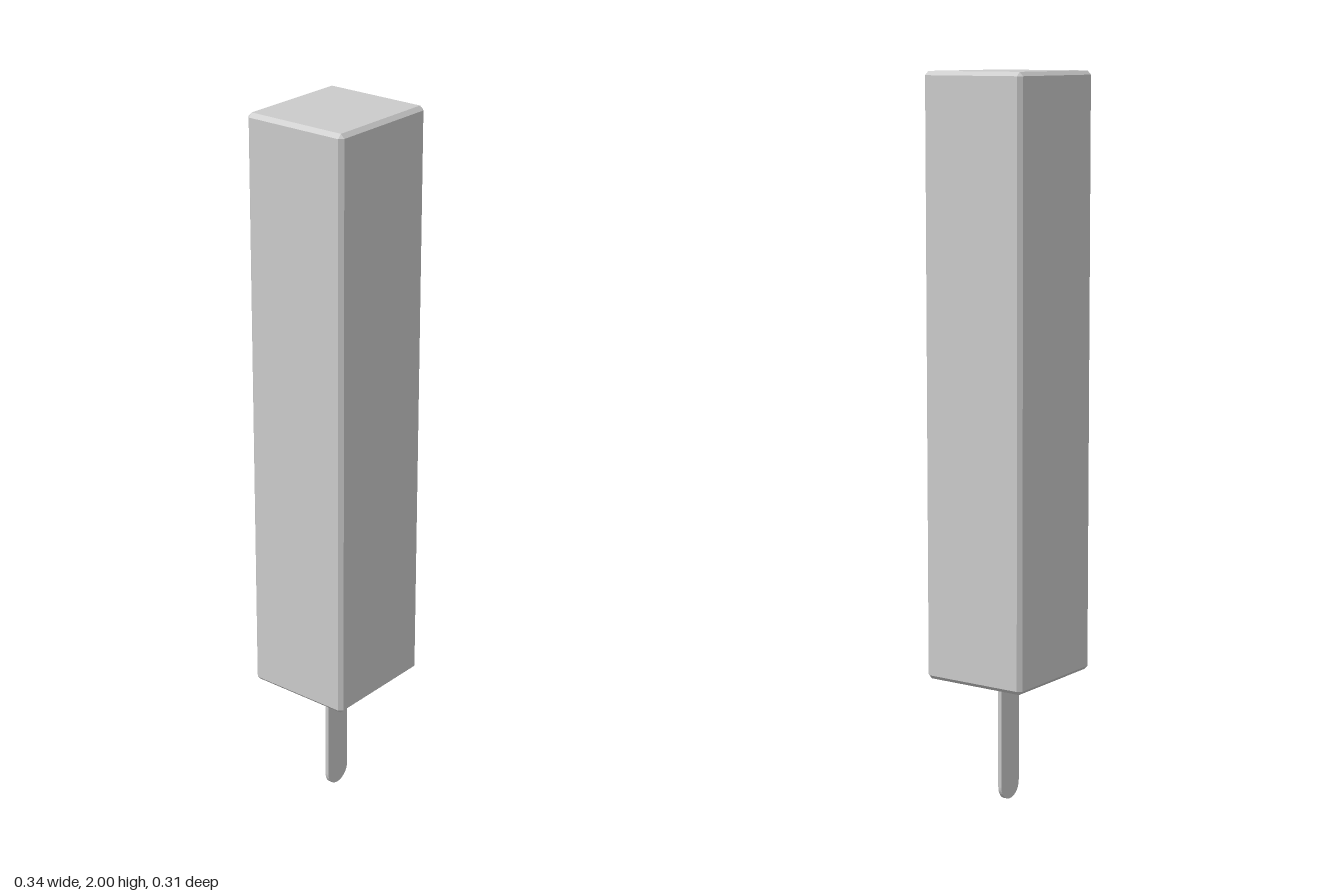
import * as THREE from 'three';
import { ConvexGeometry } from 'three/addons/geometries/ConvexGeometry.js';
import { toCreasedNormals } from 'three/addons/utils/BufferGeometryUtils.js';

// Box with every edge and corner cut by a flat chamfer
function chamferedBox(hx, hy, hz, c) {
  const points = [];
  for (const sx of [-1, 1]) for (const sy of [-1, 1]) for (const sz of [-1, 1]) {
    points.push(
      new THREE.Vector3(sx * hx, sy * (hy - c), sz * (hz - c)),
      new THREE.Vector3(sx * (hx - c), sy * hy, sz * (hz - c)),
      new THREE.Vector3(sx * (hx - c), sy * (hy - c), sz * hz)
    );
  }
  return new ConvexGeometry(points);
}

export function createModel() {
  const model = new THREE.Group();
  model.name = 'iceLolly';
  const material = new THREE.MeshStandardMaterial({ color: 0xcccccc });

  // Ice block
  const bottom = 0.357, top = 2;
  const block = new THREE.Mesh(
    chamferedBox(0.17, (top - bottom) / 2, 0.156, 0.011), material);
  block.name = 'iceBlock';
  block.position.y = (top + bottom) / 2;
  model.add(block);

  // Flat stick with a round lower end
  const r = 0.042, thickness = 0.011;
  const outline = new THREE.Shape();
  outline.moveTo(r, r);
  outline.lineTo(r, bottom + 0.01);
  outline.lineTo(-r, bottom + 0.01);
  outline.lineTo(-r, r);
  outline.absarc(0, r, r, Math.PI, 2 * Math.PI, false);
  const stickGeometry = new THREE.ExtrudeGeometry(outline, {
    depth: thickness, bevelEnabled: false, curveSegments: 16,
  });
  stickGeometry.translate(0, 0, -thickness / 2);
  const stick = new THREE.Mesh(toCreasedNormals(stickGeometry, Math.PI / 5), material);
  stick.name = 'stick';
  model.add(stick);

  return model;
}
